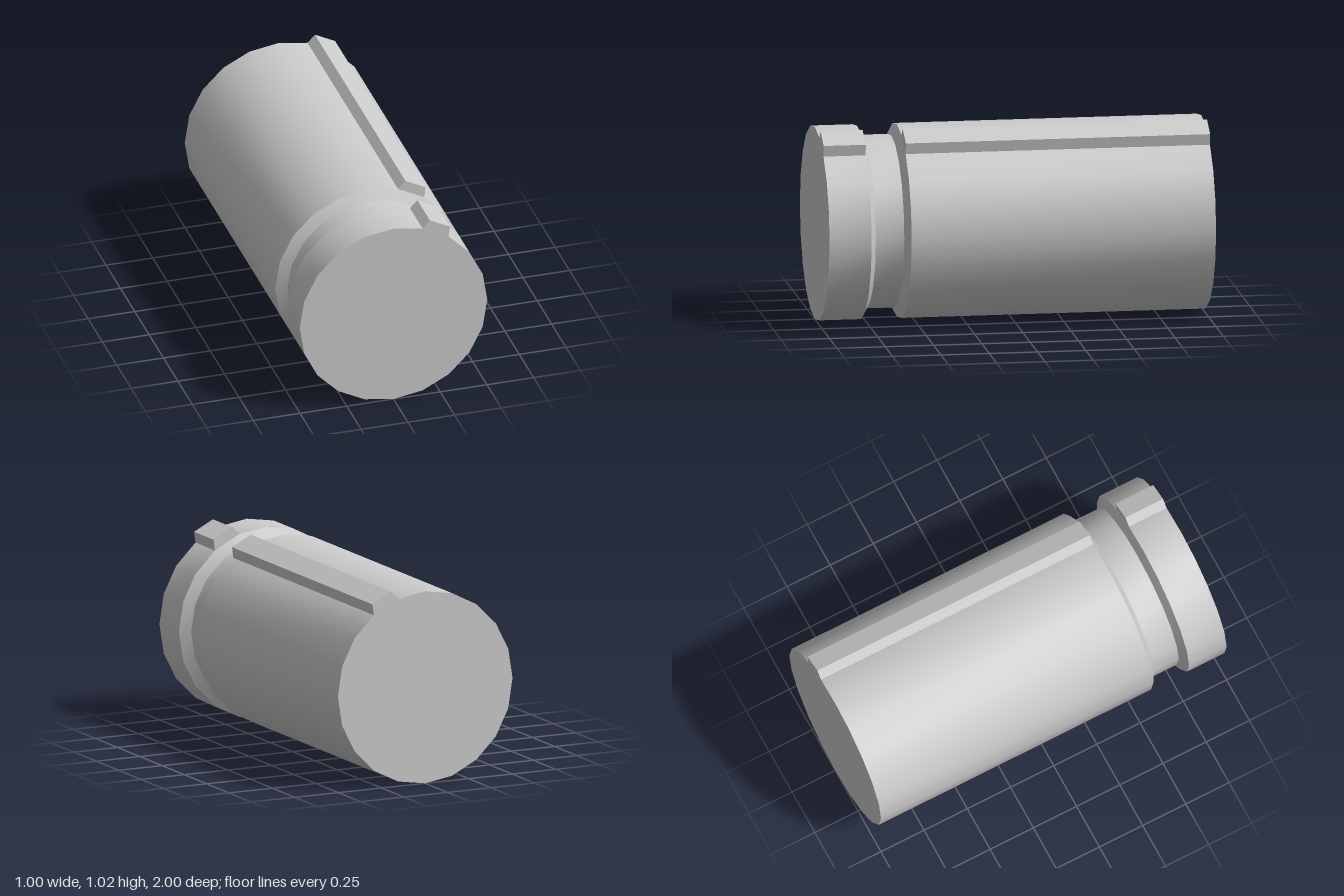
import * as THREE from 'three';
import { toCreasedNormals } from 'three/addons/utils/BufferGeometryUtils.js';

const SIDES = 20;
const R = 0.502; // outer radius, also the height of the axis
const GROOVE_R = 0.447;

// z positions of the groove's edges
const GROOVE = { back: 0.575, floorBack: 0.605, floorFront: 0.752, front: 0.782 };

export function createModel() {
  const group = new THREE.Group();
  const material = new THREE.MeshStandardMaterial({ color: 0xcccccc });

  // Closed cylinder with a bevelled groove near the front, turned about z
  const profile = [
    [0, -1], [R, -1],
    [R, GROOVE.back], [GROOVE_R, GROOVE.floorBack],
    [GROOVE_R, GROOVE.floorFront], [R, GROOVE.front],
    [R, 1], [0, 1],
  ].map(([r, z]) => new THREE.Vector2(r, z));
  const bodyGeometry = new THREE.LatheGeometry(profile, SIDES);
  bodyGeometry.rotateX(Math.PI / 2);
  const body = new THREE.Mesh(toCreasedNormals(bodyGeometry, Math.PI / 6), material);
  body.name = 'groovedCylinder';
  body.position.y = R;
  group.add(body);

  // Raised key sitting on one facet, interrupted by the groove
  const corner = (deg) => {
    const a = THREE.MathUtils.degToRad(deg);
    return new THREE.Vector2(R * Math.cos(a), R + R * Math.sin(a));
  };
  const keyShape = new THREE.Shape([
    corner(72), corner(54),
    new THREE.Vector2(0.303, 0.965), new THREE.Vector2(0.195, 1.02),
  ]);
  const addKey = (name, z0, z1) => {
    const geometry = new THREE.ExtrudeGeometry(keyShape, { depth: z1 - z0, bevelEnabled: false });
    const key = new THREE.Mesh(geometry, material);
    key.name = name;
    key.position.z = z0;
    group.add(key);
  };
  addKey('longKey', -1, GROOVE.back);
  addKey('shortKey', GROOVE.front, 1);

  return group;
}
